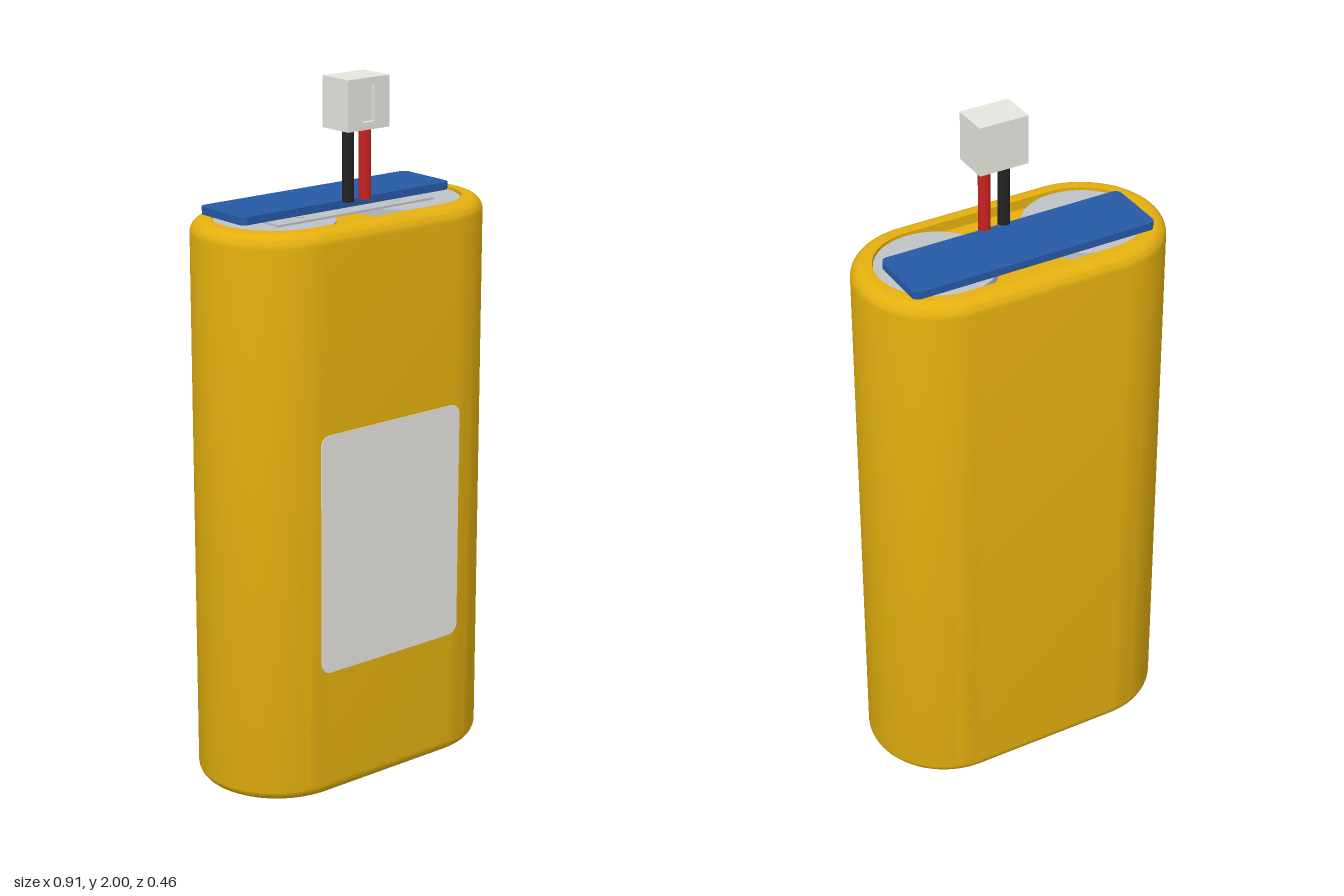
import * as THREE from 'three';
import { toCreasedNormals } from 'three/addons/utils/BufferGeometryUtils.js';

const material = (name, color) => {
  const m = new THREE.MeshStandardMaterial({ color });
  m.name = name;
  return m;
};

const CELL_X = 0.226; // distance of each cell axis from the centre
const HEIGHT = 1.635;

// Lofts a stadium outline along a profile of [radius, y] points
function stadiumLoft(profile, halfSegs = 32) {
  const n = 2 * (halfSegs + 1), pos = [], index = [];
  for (const [r, y] of profile) {
    for (let j = 0; j < n; j++) {
      const right = j <= halfSegs;
      const t = -Math.PI / 2 + Math.PI * (right ? j : j - 1) / halfSegs;
      pos.push((right ? CELL_X : -CELL_X) + r * Math.cos(t), y, r * Math.sin(t));
    }
  }
  for (let i = 0; i < profile.length - 1; i++) {
    for (let j = 0; j < n; j++) {
      const a = i * n + j, b = i * n + (j + 1) % n;
      index.push(a, a + n, b, b, a + n, b + n);
    }
  }
  const g = new THREE.BufferGeometry();
  g.setAttribute('position', new THREE.Float32BufferAttribute(pos, 3));
  g.setIndex(index);
  return toCreasedNormals(g, 0.6);
}

// Rounded rectangle centred on the origin
function roundedRect(w, h, r, Type = THREE.Shape) {
  const s = new Type(), x = w / 2, y = h / 2;
  s.moveTo(-x + r, -y);
  s.lineTo(x - r, -y).absarc(x - r, -y + r, r, -Math.PI / 2, 0);
  s.lineTo(x, y - r).absarc(x - r, y - r, r, 0, Math.PI / 2);
  s.lineTo(-x + r, y).absarc(-x + r, y - r, r, Math.PI / 2, Math.PI);
  s.lineTo(-x, -y + r).absarc(-x + r, -y + r, r, Math.PI, Math.PI * 1.5);
  return s;
}

const extrude = (shape, depth) =>
  new THREE.ExtrudeGeometry(shape, { depth, bevelEnabled: false, curveSegments: 8 });

export function createModel() {
  const yellow = material('yellow wrap', 0xe4b00f);
  const metal = material('cell metal', 0xbec1c5);
  const blue = material('blue board', 0x2659a4);
  const white = material('off white', 0xe6e4de);
  const red = material('red wire', 0xc82222);
  const black = material('black wire', 0x222222);

  const model = new THREE.Group();
  model.name = 'batteryPack';
  const add = (name, geometry, mat, x = 0, y = 0, z = 0, parent = model) => {
    const mesh = new THREE.Mesh(geometry, mat);
    mesh.name = name;
    mesh.position.set(x, y, z);
    parent.add(mesh);
    return mesh;
  };

  // Shrink wrap with rounded lips and shallow recessed ends
  const R = 0.23, lip = 0.04, open = 0.17, recess = 0.03;
  const lower = [[0, recess], [open, recess], [open, 0]];
  for (let i = 0; i <= 8; i++) {
    const t = (i / 8) * Math.PI / 2;
    lower.push([R - lip + lip * Math.sin(t), lip - lip * Math.cos(t)]);
  }
  const upper = lower.map(([r, y]) => [r, HEIGHT - y]).reverse();
  add('wrap', stadiumLoft([...lower, ...upper]), yellow);

  // Two cells showing through both ends
  const cellGeo = new THREE.CylinderGeometry(0.168, 0.168, HEIGHT - 0.016, 64);
  for (const s of [-1, 1]) add(s > 0 ? 'leftCell' : 'rightCell', cellGeo, metal, s * CELL_X, HEIGHT / 2);

  // Connecting strips with weld spots, top and bottom
  const stripGeo = new THREE.BoxGeometry(0.555, 0.006, 0.166);
  const weldGeo = new THREE.CylinderGeometry(0.012, 0.012, 0.002, 20);
  for (const top of [true, false]) {
    const strip = new THREE.Group();
    strip.name = top ? 'topStrip' : 'bottomStrip';
    strip.position.y = top ? HEIGHT - 0.005 : 0.005;
    add('plate', stripGeo, metal, 0, 0, 0, strip);
    for (const x of [-0.17, 0.17])
      for (const z of [-0.04, 0.04])
        add('weldSpot', weldGeo, metal, x, top ? 0.004 : -0.004, z, strip);
    model.add(strip);
  }

  // Protection board
  const board = add('circuitBoard', extrude(roundedRect(0.738, 0.197, 0.02), 0.022), blue, 0, 1.638, -0.051);
  board.rotation.x = -Math.PI / 2;

  // Front label
  add('label', extrude(roundedRect(0.5, 0.695, 0.03), 0.004), white, 0, 0.722, 0.228);

  // Wires
  const wireGeo = new THREE.CylinderGeometry(0.017, 0.017, 0.215, 24);
  add('blackWire', wireGeo, black, -0.009, 1.7625, 0.05);
  add('redWire', wireGeo, red, 0.051, 1.7625, 0.05);

  // Plug with a shallow keyway in its front face
  const plug = new THREE.Group();
  plug.name = 'plug';
  plug.position.set(0.021, 1.929, 0.048);
  add('plugBody', new THREE.BoxGeometry(0.146, 0.142, 0.094), white, 0, 0, -0.007, plug);
  const face = roundedRect(0.146, 0.142, 0.001);
  face.holes.push(roundedRect(0.042, 0.1, 0.001, THREE.Path));
  add('plugFace', extrude(face, 0.014), white, 0, 0, 0.04, plug);
  model.add(plug);

  return model;
}
